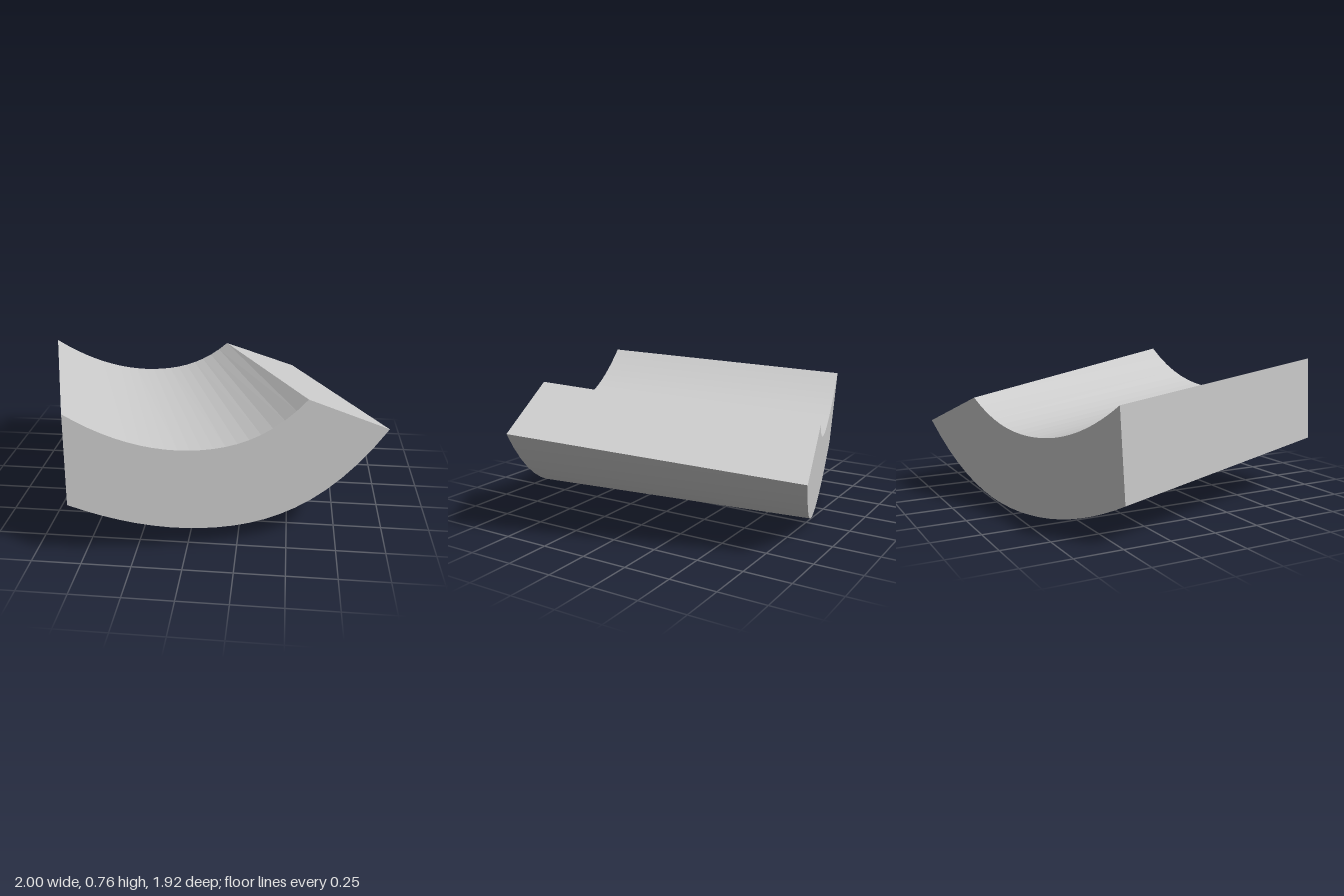
import * as THREE from 'three';

const SEGMENTS = 20;

// Height of a trough curve: lowest point plus a quadratic-cubic rise on each side
function trough(low, left, right) {
  return (u) => {
    const [d, p, q] = u < low[0] ? left : right; // span, quadratic rise, cubic rise
    const t = Math.abs(u - low[0]) / d;
    return low[1] + p * t * t + q * t * t * t;
  };
}
const outerCurve = trough([0.19, 0.11], [0.77, 0.215, -0.015], [0.867, 0.287, 0.17]);
const innerCurve = trough([0.095, 0.537], [0.669, 0.223, 0.012], [0.527, 0.139, 0.081]);

// Points along one curve, from the left end to the right end, at a given depth
function row(curve, start, end, depth) {
  return Array.from({ length: SEGMENTS + 1 }, (_, i) => {
    const u = start + (end - start) * (i / SEGMENTS);
    return new THREE.Vector3(u, curve(u), depth);
  });
}

export function createModel() {
  const length = 1.513;
  const outerFront = row(outerCurve, -0.579, 1.057, 0);
  const innerFront = row(innerCurve, -0.574, 0.622, 0);
  const outerBack = row(outerCurve, -0.579, 1.004, -length);
  const innerBack = row(innerCurve, -0.574, 0.543, -length);

  const positions = [];
  const quad = (a, b, c, d) => {
    for (const p of [a, b, c, a, c, d]) positions.push(p.x, p.y, p.z);
  };

  // Curved underside, hollow top and both end faces
  for (let i = 0; i < SEGMENTS; i++) {
    const j = i + 1;
    quad(outerFront[i], outerBack[i], outerBack[j], outerFront[j]);
    quad(innerFront[i], innerFront[j], innerBack[j], innerBack[i]);
    quad(outerFront[i], outerFront[j], innerFront[j], innerFront[i]);
    quad(outerBack[j], outerBack[i], innerBack[i], innerBack[j]);
  }
  // Flat sides closing the left and right ends of the arc
  const n = SEGMENTS;
  quad(outerBack[0], outerFront[0], innerFront[0], innerBack[0]);
  quad(outerFront[n], outerBack[n], innerBack[n], innerFront[n]);

  const geometry = new THREE.BufferGeometry();
  geometry.setAttribute('position', new THREE.Float32BufferAttribute(positions, 3));
  geometry.computeVertexNormals();

  const block = new THREE.Mesh(
    geometry,
    new THREE.MeshStandardMaterial({ color: 0xcccccc, flatShading: true })
  );
  block.name = 'curvedBlock';

  // Tilt the block: its long axis runs back, to the side and slightly down
  const axis = new THREE.Vector3(0.302, 0.07, 1).normalize();
  const across = new THREE.Vector3(1, 0, -0.302).normalize();
  const up = new THREE.Vector3().crossVectors(axis, across);
  block.quaternion.setFromRotationMatrix(new THREE.Matrix4().makeBasis(across, up, axis));
  block.position.set(0, 0, 0.808);

  const group = new THREE.Group();
  group.name = 'archSegment';
  group.add(block);
  return group;
}
